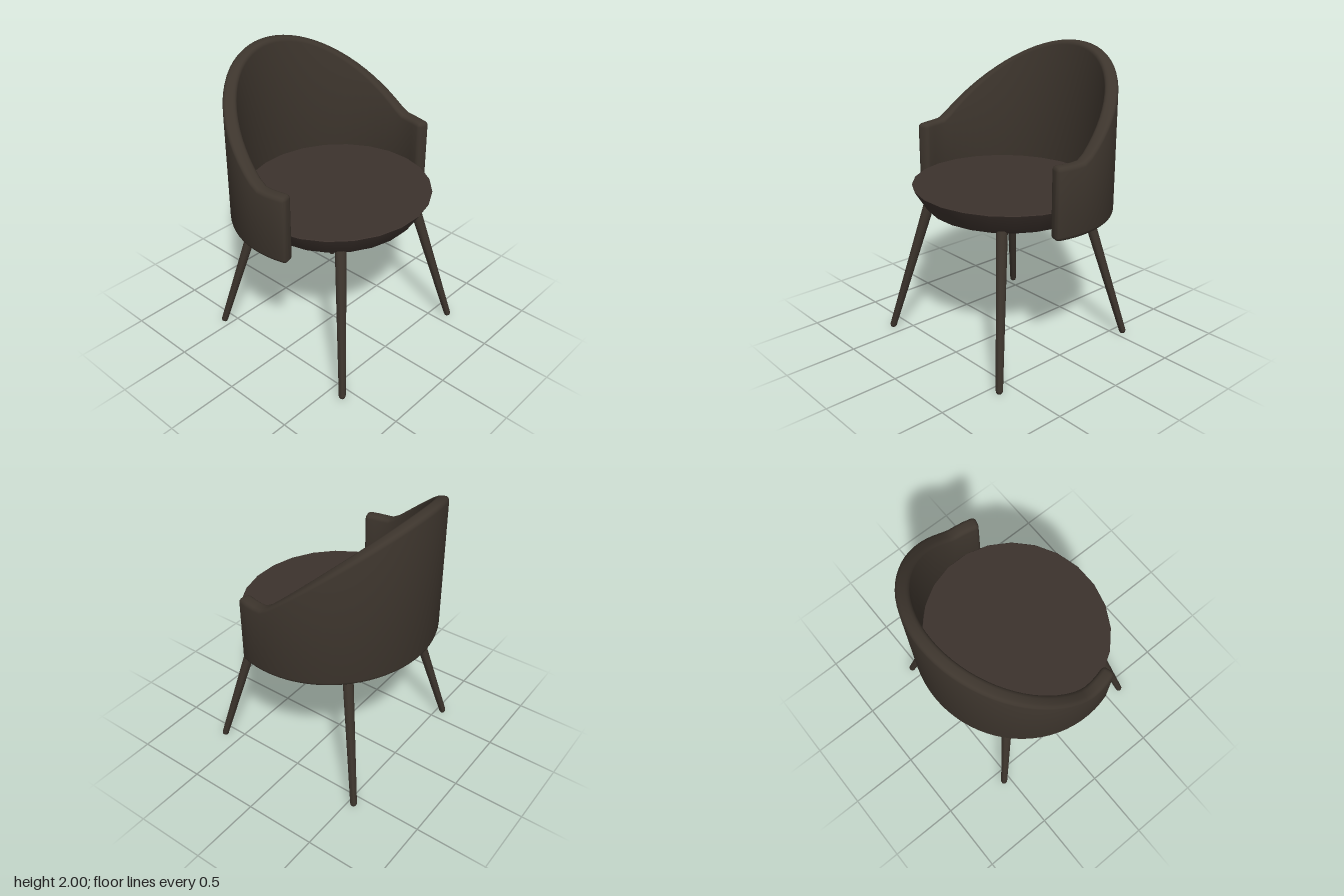
import * as THREE from 'three';
import { toCreasedNormals } from 'three/addons/utils/BufferGeometryUtils.js';

const CZ = 0.04;      // centre of the round seat and shell
const DEPTH = 0.952;  // the plan is slightly oval

// Rounded rectangle in (radius, height), counter-clockwise
function roundedRing(r0, r1, y0, y1, c) {
  const corners = [[r1 - c, y0 + c, -0.5], [r1 - c, y1 - c, 0], [r0 + c, y1 - c, 0.5], [r0 + c, y0 + c, 1]];
  const pts = [];
  for (const [r, y, start] of corners) {
    for (let k = 0; k <= 3; k++) {
      const a = (start + k / 6) * Math.PI;
      pts.push([r + c * Math.cos(a), y + c * Math.sin(a)]);
    }
  }
  return pts;
}

// Low arms that rise smoothly into the sloping backrest
function shellHeight(theta) {
  const s = Math.sin(theta);
  const soft = 0.5 * (s + Math.sqrt(s * s + 0.0012));
  return 1.43 + 0.57 * Math.min(soft, 1);
}

function shellGeometry() {
  const round = 0.028, over = 0.312, mid = 0.69;
  const stations = [];
  const a0 = -over, a1 = Math.PI + over;
  // rounded arm ends: inset grows towards the tip
  const ends = [0, 1, 2, 3].map(k => {
    const f = k * Math.PI / 6;
    return [round * (1 - Math.sin(f)) / mid, round * (1 - Math.cos(f))];
  });
  for (let k = 3; k >= 0; k--) stations.push([a0 + ends[k][0], ends[k][1]]);
  stations.reverse();
  stations.sort((p, q) => p[0] - q[0]);
  const n = 44;
  const from = a0 + round / mid, to = a1 - round / mid;
  for (let i = 1; i < n; i++) stations.push([from + (to - from) * i / n, 0]);
  for (let k = 0; k <= 3; k++) stations.push([a1 - ends[k][0], ends[k][1]]);
  stations.sort((p, q) => p[0] - q[0]);

  const pos = [], index = [];
  let m = 0;
  for (const [theta, d] of stations) {
    const ring = roundedRing(0.645 + d, 0.735 - d, 0.96 + d, shellHeight(theta) - d, Math.max(round - d, 0.002));
    m = ring.length;
    for (const [r, y] of ring) pos.push(r * Math.cos(theta), y, CZ - r * Math.sin(theta) * DEPTH);
  }
  const last = (stations.length - 1) * m;
  for (let i = 0; i < stations.length - 1; i++) {
    for (let j = 0; j < m; j++) {
      const a = i * m + j, b = i * m + (j + 1) % m;
      index.push(a, a + m, b + m, a, b + m, b);
    }
  }
  // end caps
  for (let j = 1; j < m - 1; j++) {
    index.push(0, j, j + 1);
    index.push(last, last + j + 1, last + j);
  }
  const g = new THREE.BufferGeometry();
  g.setAttribute('position', new THREE.Float32BufferAttribute(pos, 3));
  g.setIndex(index);
  return toCreasedNormals(g, 0.7);
}

function lathe(points, segments, phiStart = 0) {
  const profile = points.map(p => new THREE.Vector2(p[0], p[1]));
  return new THREE.LatheGeometry(profile, segments, phiStart);
}

export function createModel() {
  const model = new THREE.Group();
  model.name = 'chair';
  const fabric = new THREE.MeshStandardMaterial({ color: 0x3d352d });
  fabric.name = 'dark brown upholstery';
  const cushion = new THREE.MeshStandardMaterial({ color: 0x3c322d });
  cushion.name = 'warm brown seat';

  const add = (name, geometry, material) => {
    const mesh = new THREE.Mesh(geometry, material);
    mesh.name = name;
    model.add(mesh);
    return mesh;
  };

  // Wraparound backrest and arms
  add('backrestShell', shellGeometry(), fabric);

  // Round seat, tapering towards its underside
  const seatGeometry = lathe(
    [[0, 0.965], [0.53, 0.965], [0.552, 0.972], [0.568, 0.99], [0.645, 1.108], [0.65, 1.118], [0.646, 1.122], [0, 1.122]],
    24, Math.PI / 24);
  const seat = add('seat', toCreasedNormals(seatGeometry, 0.7), cushion);
  seat.scale.z = DEPTH;
  seat.position.z = CZ;

  // Four splayed, tapered legs with rounded feet
  const up = new THREE.Vector3(0, 1, 0);
  for (const sx of [-1, 1]) {
    for (const sz of [-1, 1]) {
      const foot = new THREE.Vector3(sx * 0.585, 0.004, 0.033 + sz * 0.585);
      const top = new THREE.Vector3(sx * 0.37, 0.98, 0.033 + sz * 0.37);
      const axis = top.clone().sub(foot);
      const length = axis.length();
      const legGeometry = lathe(
        [[0, 0], [0.011, 0.002], [0.019, 0.009], [0.023, 0.022], [0.037, length], [0, length]], 16);
      const leg = add((sz > 0 ? 'front' : 'back') + (sx > 0 ? 'Left' : 'Right') + 'Leg',
        toCreasedNormals(legGeometry, 0.8), fabric);
      leg.position.copy(foot);
      leg.quaternion.setFromUnitVectors(up, axis.normalize());
    }
  }
  return model;
}
